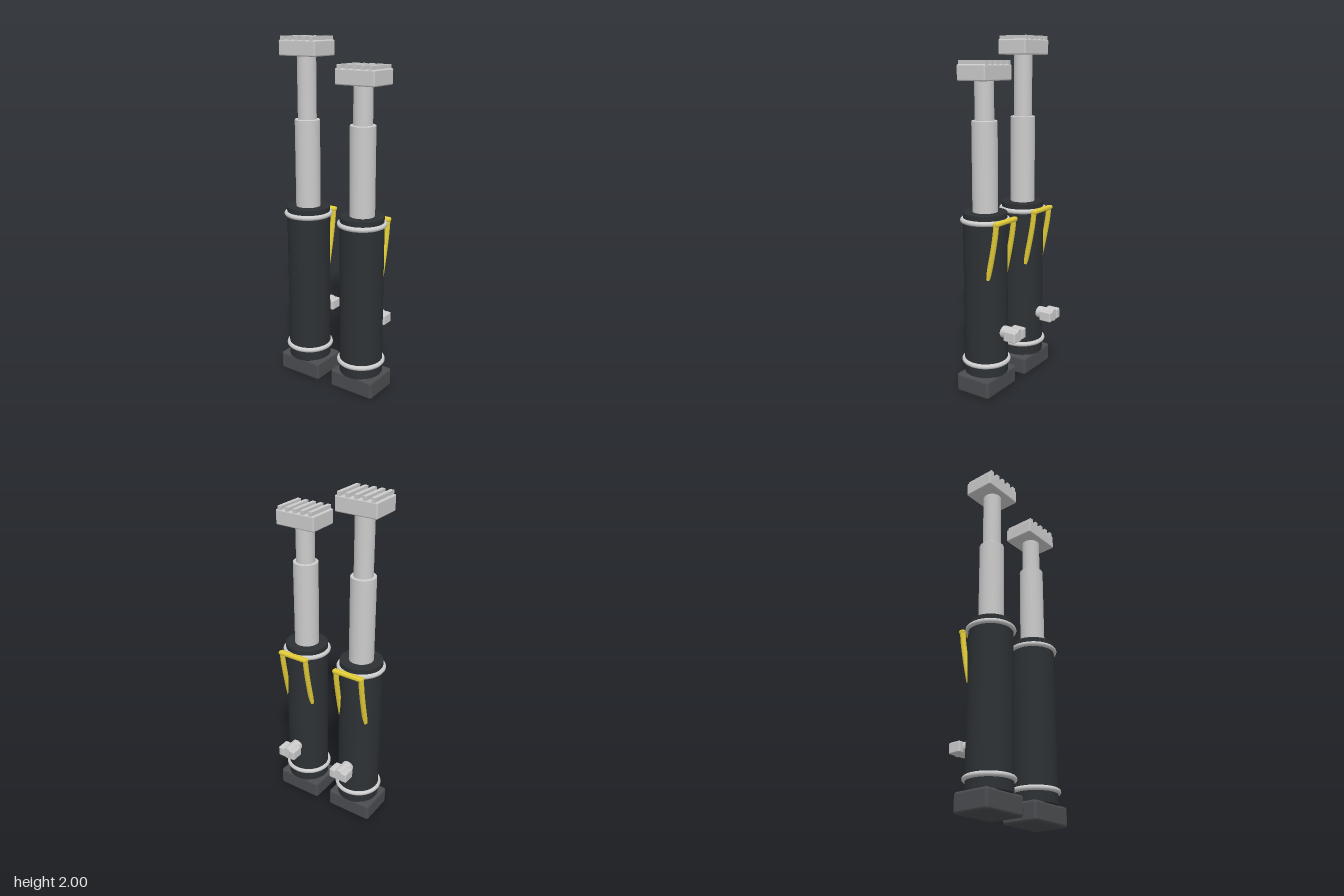
import * as THREE from 'three';
import { RoundedBoxGeometry } from 'three/addons/geometries/RoundedBoxGeometry.js';

const mat = (color) => new THREE.MeshStandardMaterial({ color });
const grey = mat(0xcccccc);
const black = mat(0x2d3134);
const darkGrey = mat(0x4a4c4f);
const yellow = mat(0xe2cc38);

function add(parent, name, geometry, material, x = 0, y = 0, z = 0) {
  const mesh = new THREE.Mesh(geometry, material);
  mesh.name = name;
  mesh.position.set(x, y, z);
  parent.add(mesh);
  return mesh;
}

// Upright cylinder between two heights, with a small bevel at both rims
function post(radius, y0, y1, bevel) {
  const h = y1 - y0;
  const corners = [[0, 0], [radius - bevel, 0], [radius, bevel], [radius, h - bevel], [radius - bevel, h], [0, h]];
  const pieces = new THREE.Group();
  pieces.name = 'post';
  return { h, corners, radius, bevel, y0 };
}

function postGeometry(radius, y0, y1, bevel = 0.003) {
  const r = radius, b = bevel;
  // Doubled points keep the rims crisp
  const pts = [[0, y0], [r - b, y0], [r - b, y0], [r, y0 + b], [r, y0 + b],
    [r, y1 - b], [r, y1 - b], [r - b, y1], [r - b, y1], [0, y1]];
  return new THREE.LatheGeometry(pts.map(([x, y]) => new THREE.Vector2(x, y)), 48);
}

// Yellow carrying handle at the back of the cylinder
function makeHandle() {
  const handle = new THREE.Group();
  handle.name = 'handle';
  const bar = add(handle, 'handleBar', new RoundedBoxGeometry(0.196, 0.026, 0.038, 3, 0.011), yellow, 0, 1.008, -0.136);
  bar.rotation.x = 0.15;
  for (const side of [-1, 1]) {
    const path = new THREE.CatmullRomCurve3([
      [1.01, -0.134], [0.94, -0.126], [0.86, -0.112], [0.77, -0.093], [0.69, -0.074],
    ].map(([y, z]) => new THREE.Vector3(side * 0.083, y, z)));
    add(handle, 'handleLeg', new THREE.TubeGeometry(path, 24, 0.0155, 14), yellow);
  }
  return handle;
}

// Hose fitting: a round stub gripped by two blocks
function makeFitting() {
  const fitting = new THREE.Group();
  fitting.name = 'fitting';
  const stub = add(fitting, 'fittingStub', new THREE.CylinderGeometry(0.035, 0.035, 0.131, 28), grey, 0, 0.37, -0.1655);
  stub.rotation.x = Math.PI / 2;
  for (const side of [-1, 1]) {
    add(fitting, 'fittingBlock', new RoundedBoxGeometry(0.04, 0.062, 0.078, 3, 0.008), grey, side * 0.038, 0.37, -0.197);
  }
  return fitting;
}

// One jack; its axis is the local y axis
function makeJack(headBottom) {
  const jack = new THREE.Group();
  jack.name = 'jack';
  add(jack, 'base', new RoundedBoxGeometry(0.285, 0.11, 0.222, 4, 0.016), darkGrey, 0, 0.055, -0.002);
  add(jack, 'cylinderBody', postGeometry(0.124, 0.105, 1.05), black);
  for (const y of [0.18, 1.005]) {
    add(jack, 'collarRing', new THREE.TorusGeometry(0.126, 0.014, 14, 56), grey, 0, y).rotation.x = Math.PI / 2;
  }
  add(jack, 'sleeve', postGeometry(0.071, 1.04, 1.55), grey);
  add(jack, 'rod', postGeometry(0.053, 1.54, headBottom + 0.01), grey);

  // Ridged lifting pad
  const pad = new THREE.Group();
  pad.name = 'liftingPad';
  pad.position.set(0, headBottom, -0.003);
  jack.add(pad);
  add(pad, 'padBlock', new RoundedBoxGeometry(0.248, 0.085, 0.184, 3, 0.008), grey, 0, 0.0425);
  for (let i = -2; i <= 2; i++) {
    add(pad, 'padRidge', new THREE.BoxGeometry(0.023, 0.026, 0.18), grey, i * 0.0495, 0.092);
  }

  jack.add(makeHandle(), makeFitting());
  return jack;
}

export function createModel() {
  const model = new THREE.Group();
  model.name = 'jackPair';
  const right = makeJack(1.895);
  right.name = 'rightJack';
  right.position.set(-0.188, 0, 0.048);
  const left = makeJack(1.759);
  left.name = 'leftJack';
  left.position.set(0.188, 0, 0.048);
  model.add(right, left);
  return model;
}
